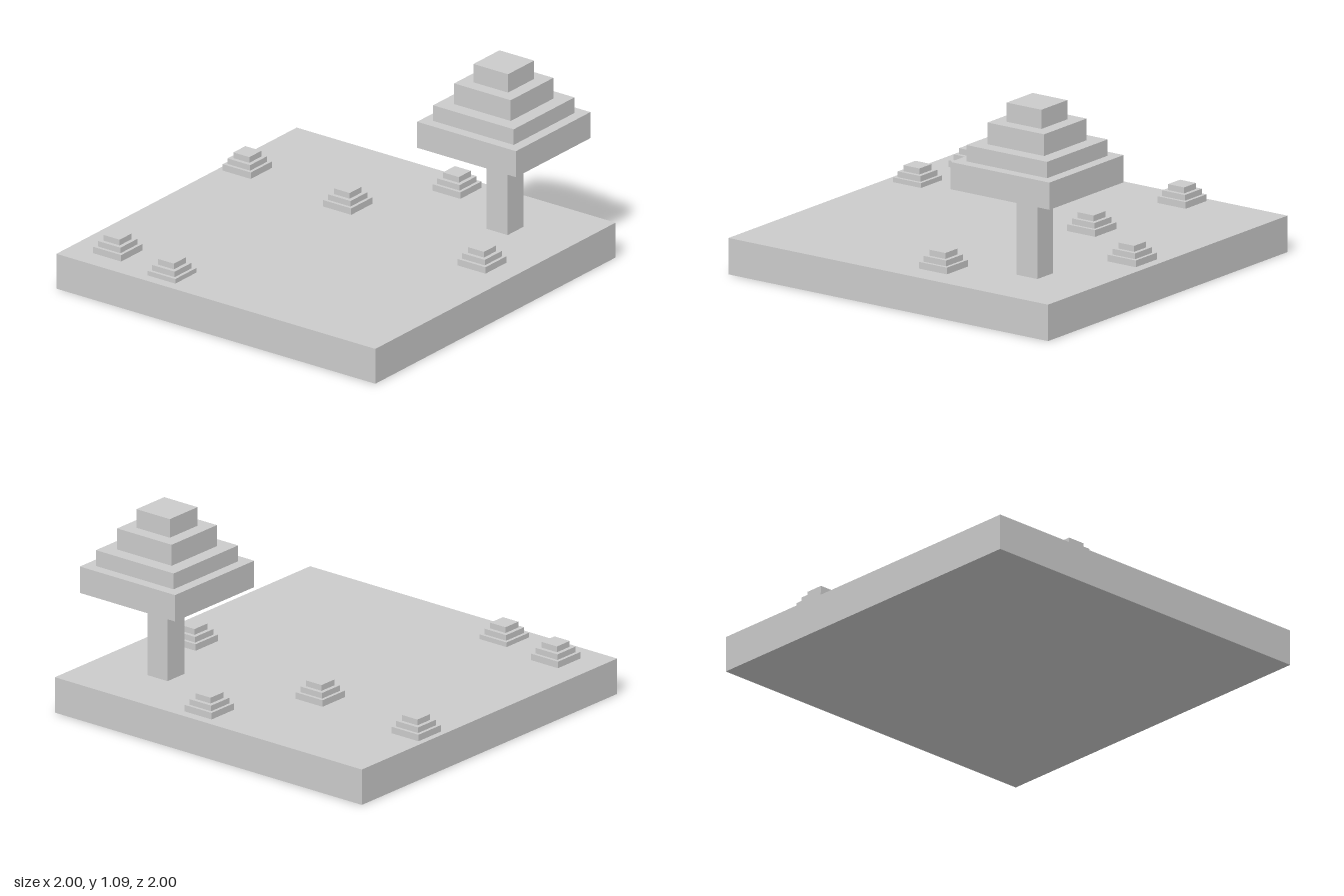
import * as THREE from 'three';

const material = new THREE.MeshStandardMaterial({ color: 0xcccccc, flatShading: true });

// Square block with its bottom at y0 and its top at y1
function block(name, width, y0, y1, x = 0, z = 0) {
  const mesh = new THREE.Mesh(new THREE.BoxGeometry(width, y1 - y0, width), material);
  mesh.position.set(x, (y0 + y1) / 2, z);
  mesh.name = name;
  return mesh;
}

// Stepped stack of blocks; levels are the heights between the tiers
function tiers(name, widths, levels) {
  const group = new THREE.Group();
  group.name = name;
  widths.forEach((w, i) => group.add(block(`${name}Tier${i + 1}`, w, levels[i], levels[i + 1])));
  return group;
}

export function createModel() {
  const model = new THREE.Group();
  model.name = 'treeIsland';
  const groundTop = 0.19;

  // Ground slab
  model.add(block('ground', 2, 0, groundTop));

  // Tree: square trunk with a stepped crown
  const tree = new THREE.Group();
  tree.name = 'tree';
  tree.add(block('trunk', 0.132, groundTop, 0.65, 0.615, 0.597));
  const crown = tiers('crown', [0.62, 0.506, 0.355, 0.217], [0.648, 0.79, 0.875, 0.988, 1.088]);
  crown.position.set(0.62, 0, 0.585);
  tree.add(crown);
  model.add(tree);

  // Bushes: x, z and how far each is sunk into the ground
  const bushes = [
    [0.43, -0.88, 0], [-0.795, -0.77, 0], [-0.855, -0.385, 0.01],
    [0.37, -0.205, 0], [0.86, 0.11, 0], [0.18, 0.78, 0],
  ];
  for (const [x, z, sink] of bushes) {
    const bush = tiers('bush', [0.176, 0.142, 0.1], [groundTop, 0.225, 0.255, 0.286]);
    bush.position.set(x, -sink, z);
    model.add(bush);
  }
  return model;
}
